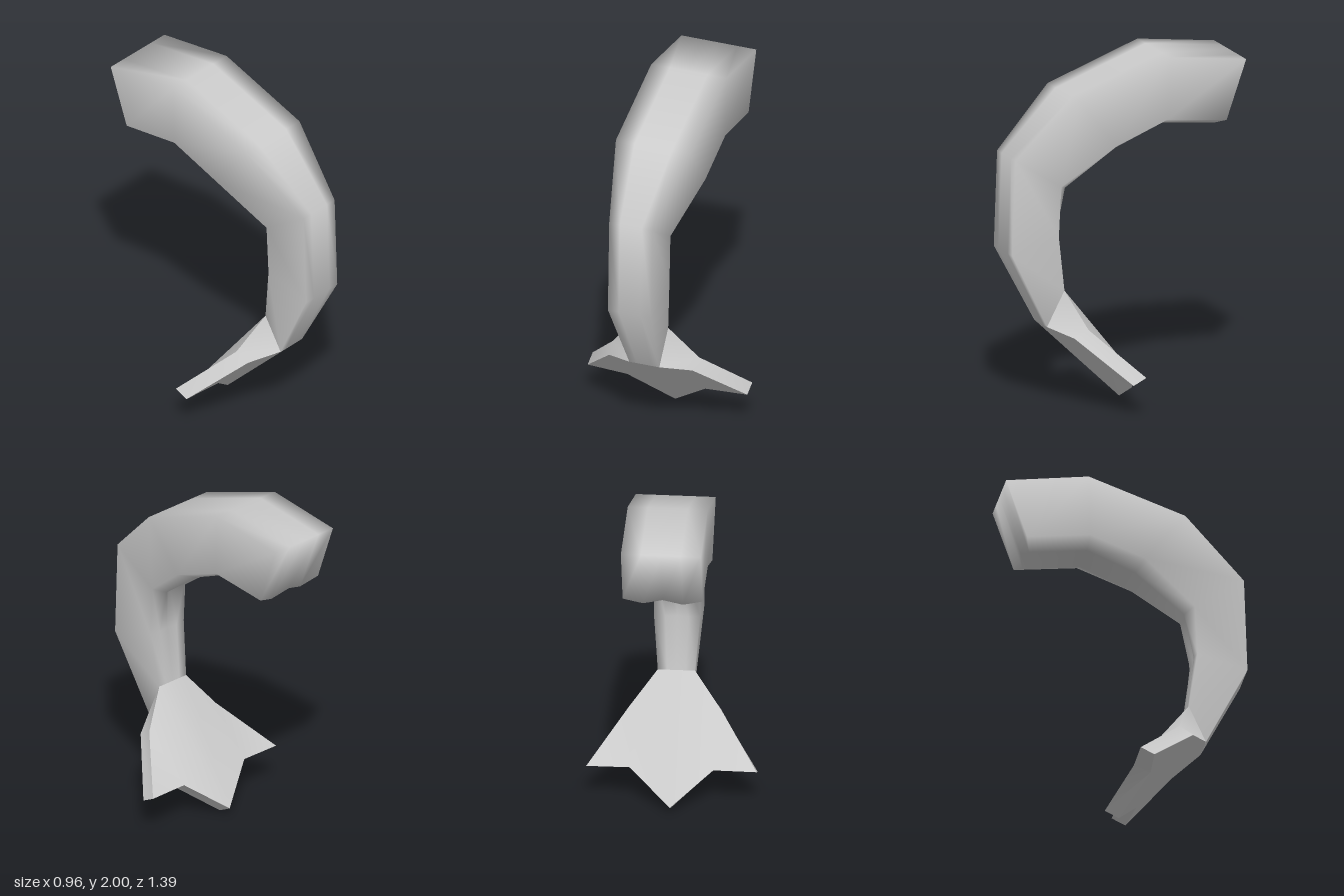
import * as THREE from 'three';
import { toCreasedNormals } from 'three/addons/utils/BufferGeometryUtils.js';

const material = new THREE.MeshStandardMaterial({ color: 0xcccccc });

function geometryFrom(points, index) {
  const g = new THREE.BufferGeometry();
  g.setAttribute('position', new THREE.Float32BufferAttribute(points.flat(), 3));
  g.setIndex(index);
  return g;
}

// Curved tail: cross-sections with a flat back and a grooved underside
function createBody() {
  // outer width, z, y | lower side width, z, y | underside ridge z, y
  const rings = [
    [0.225, -0.69, 1.94, 0.225, -0.57, 1.6, -0.54, 1.56],
    [0.225, -0.22, 2.0, 0.225, -0.21, 1.64, -0.21, 1.595],
    [0.225, 0.33, 1.8, 0.225, 0.1, 1.52, 0.06, 1.48],
    [0.13, 0.68, 1.47, 0.13, 0.4, 1.29, 0.35, 1.265],
    [0.13, 0.7, 0.92, 0.13, 0.415, 1.0, 0.405, 1.0],
    [0.09, 0.47, 0.475, 0.105, 0.37, 0.68, 0.37, 0.68],
  ];
  const points = [], index = [], n = 10;
  for (const [w, oz, oy, sw, sz, sy, bz, by] of rings) {
    for (const k of [1, 0.5, 0, -0.5, -1]) points.push([k * w, oy, oz]);
    for (const k of [-1, -0.5, 0, 0.5, 1]) {
      const ridge = Math.abs(k) === 0.5;
      points.push([k * sw, ridge ? by : sy, ridge ? bz : sz]);
    }
  }
  for (let i = 0; i < rings.length - 1; i++) {
    for (let j = 0; j < n; j++) {
      const a = i * n + j, b = i * n + (j + 1) % n;
      index.push(a, b, a + n, b, b + n, a + n);
    }
  }
  // End face at the thick end
  for (let j = 0; j < 4; j++) index.push(j, 9 - j, j + 1, j + 1, 9 - j, 8 - j);
  const g = geometryFrom(points, index);
  g.computeVertexNormals();
  return g;
}

// Three-pointed fluke: mirrored halves with front, back and rim
function createFluke() {
  // root centre, root edge, shoulder, side tip, notch, middle tip
  const front = [[0, 0.475, 0.47], [0.09, 0.475, 0.47], [0.25, 0.435, 0.37],
    [0.48, 0.19, 0.11], [0.235, 0.19, 0.13], [0, 0.005, -0.01]];
  const back = [[0, 0.68, 0.37], [0.105, 0.68, 0.37], [0.26, 0.48, 0.29],
    [0.48, 0.228, 0.032], [0.235, 0.228, 0.035], [0, 0.045, -0.09]];
  const half = [...front, ...back];
  const faces = [];
  for (const [a, b, c] of [[0, 5, 1], [1, 5, 4], [1, 4, 2], [2, 4, 3]]) {
    faces.push([a, b, c], [a + 6, c + 6, b + 6]);
  }
  for (let k = 1; k < 5; k++) faces.push([k, k + 1, k + 7], [k, k + 7, k + 6]);
  const points = [...half, ...half.map(([x, y, z]) => [-x, y, z])];
  const index = faces.flatMap(([a, b, c]) => [a, b, c, a + 12, c + 12, b + 12]);
  return toCreasedNormals(geometryFrom(points, index), 0.8);
}

export function createModel() {
  const group = new THREE.Group();
  group.name = 'fishTail';
  for (const [name, geometry] of [['tailBody', createBody()], ['tailFluke', createFluke()]]) {
    const mesh = new THREE.Mesh(geometry, material);
    mesh.name = name;
    group.add(mesh);
  }
  return group;
}
